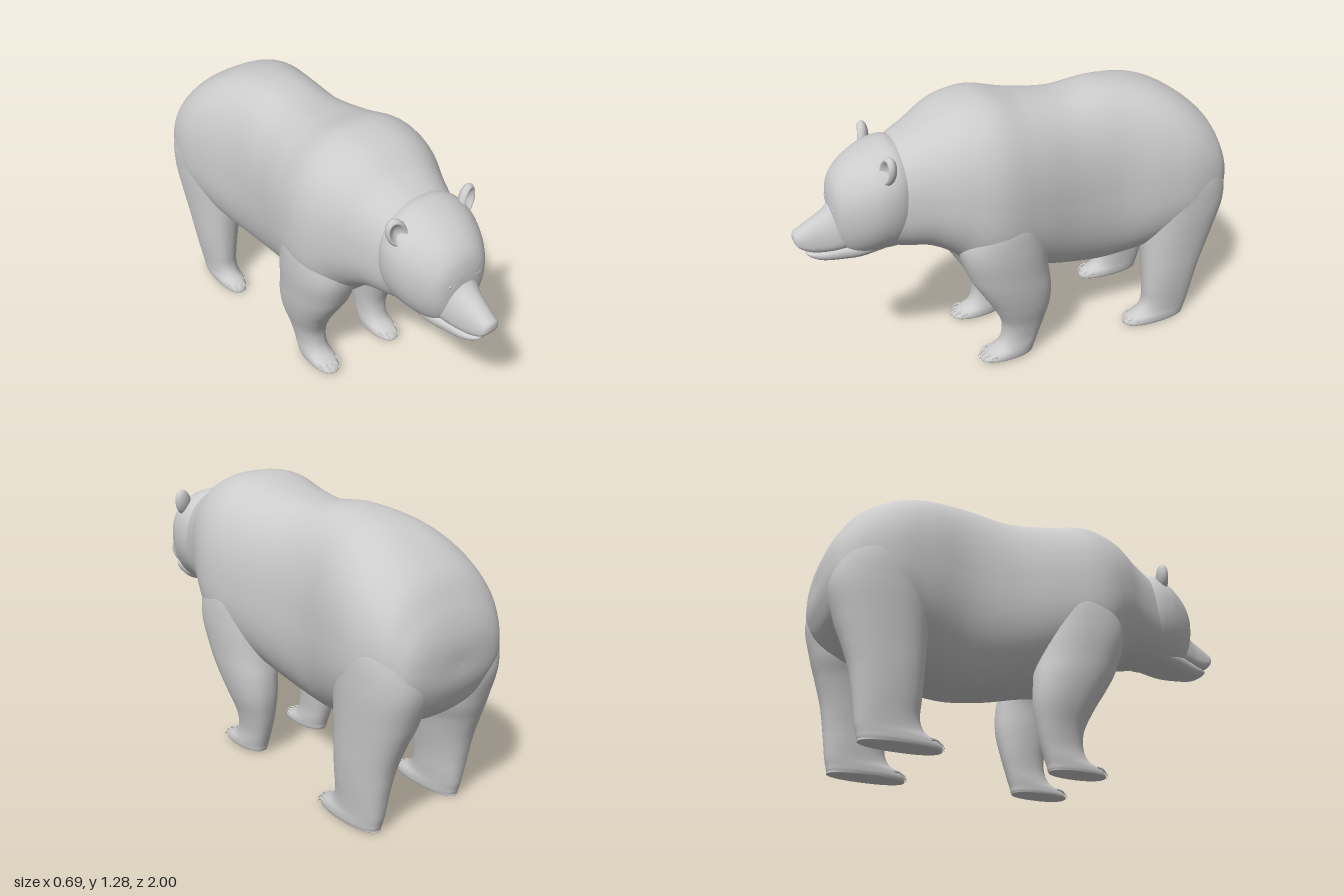
import * as THREE from 'three';

const material = new THREE.MeshStandardMaterial({ color: 0xcccccc, side: THREE.DoubleSide });
const STEPS = 7, SIDES = 64;

// Signed power for superellipse cross-sections
const spow = (v, n) => Math.sign(v) * Math.pow(Math.abs(v), 2 / n);

// Smooth interpolation between the rows of a section table
function sample(rows, t) {
  const i = Math.min(Math.floor(t), rows.length - 2), f = t - i;
  const at = k => rows[Math.max(0, Math.min(rows.length - 1, k))];
  const [a, b, c, d] = [at(i - 1), at(i), at(i + 1), at(i + 2)];
  return b.map((_, k) => 0.5 * (2 * b[k] + (c[k] - a[k]) * f
    + (2 * a[k] - 5 * b[k] + 4 * c[k] - d[k]) * f * f
    + (3 * b[k] - a[k] - 3 * c[k] + d[k]) * f * f * f));
}

// Skin closed rings through the section rows
function loft(rows, point) {
  const pos = [], index = [], rings = (rows.length - 1) * STEPS;
  for (let i = 0; i <= rings; i++) {
    const row = sample(rows, i / STEPS);
    for (let j = 0; j < SIDES; j++) {
      const a = j / SIDES * Math.PI * 2;
      pos.push(...point(row, Math.cos(a), Math.sin(a)));
      if (i === rings) continue;
      const k = (j + 1) % SIDES, p = i * SIDES, q = p + SIDES;
      index.push(p + j, p + k, q + k, p + j, q + k, q + j);
    }
  }
  const g = new THREE.BufferGeometry();
  g.setAttribute('position', new THREE.Float32BufferAttribute(pos, 3));
  g.setIndex(index);
  g.computeVertexNormals();
  return g;
}

// Rows along z: [z, bottom, top, half width]; mid sets the height of the widest point
const along = (rows, nTop, nBottom, mid = 0.5) => loft(rows, ([z, bot, top, w], c, s) => {
  const n = s > 0 ? nTop : nBottom, m = bot + (top - bot) * mid;
  return [w * spow(c, n), m + (s > 0 ? top - m : m - bot) * spow(s, n), z];
});

// Rows down y: [y, back z, front z, inner x, outer x]
const limb = (rows, side) => loft(rows, ([y, back, front, inner, outer], c, s) => [
  side * (inner + outer) / 2 + (outer - inner) / 2 * spow(c, 2.3), y,
  (back + front) / 2 + (front - back) / 2 * spow(s, 2.2)]);

const bodyRows = [
  [-1, 0.73, 0.73, 0], [-1, 0.66, 0.8, 0.12], [-0.985, 0.6, 0.87, 0.22],
  [-0.95, 0.53, 0.95, 0.277], [-0.88, 0.47, 1.055, 0.32], [-0.75, 0.41, 1.15, 0.343],
  [-0.6, 0.365, 1.21, 0.325], [-0.4, 0.335, 1.235, 0.283], [-0.2, 0.365, 1.217, 0.287],
  [0, 0.42, 1.24, 0.322], [0.15, 0.435, 1.277, 0.345], [0.25, 0.475, 1.275, 0.337],
  [0.35, 0.58, 1.247, 0.3], [0.45, 0.64, 1.19, 0.25], [0.55, 0.66, 1.14, 0.212],
  [0.62, 0.68, 1.1, 0.19]];

const skullRows = [
  [0.48, 0.69, 1.1, 0.16], [0.57, 0.66, 1.143, 0.208], [0.65, 0.66, 1.13, 0.211],
  [0.72, 0.655, 1.1, 0.188], [0.78, 0.67, 1.06, 0.153], [0.82, 0.72, 1.01, 0.114],
  [0.838, 0.8, 0.95, 0.06], [0.842, 0.89, 0.89, 0]];

const muzzleRows = [
  [0.72, 0.7, 0.99, 0.11], [0.82, 0.695, 0.915, 0.088], [0.87, 0.695, 0.872, 0.073],
  [0.93, 0.705, 0.84, 0.058], [0.97, 0.725, 0.817, 0.047], [0.99, 0.745, 0.807, 0.038],
  [0.999, 0.765, 0.795, 0.02], [1, 0.78, 0.78, 0]];

const jawRows = [
  [0.64, 0.67, 0.76, 0.12], [0.74, 0.65, 0.745, 0.108], [0.82, 0.649, 0.73, 0.084],
  [0.89, 0.656, 0.715, 0.062], [0.93, 0.672, 0.71, 0.045], [0.953, 0.69, 0.705, 0.025],
  [0.956, 0.698, 0.698, 0]];

const frontLegRows = [
  [0.95, 0.06, 0.24, 0.14, 0.27], [0.8, 0, 0.3, 0.1, 0.333], [0.65, -0.04, 0.345, 0.06, 0.342],
  [0.5, -0.063, 0.308, 0.055, 0.328], [0.4, -0.077, 0.255, 0.085, 0.315],
  [0.3, -0.078, 0.195, 0.1, 0.293], [0.2, -0.06, 0.15, 0.112, 0.262],
  [0.12, -0.038, 0.148, 0.12, 0.246], [0.07, -0.022, 0.175, 0.119, 0.245],
  [0.04, -0.012, 0.235, 0.117, 0.247], [0.018, -0.006, 0.256, 0.119, 0.245],
  [0.01, 0.01, 0.235, 0.13, 0.235], [0.01, 0.12, 0.12, 0.18, 0.18]];

const hindLegRows = [
  [0.95, -0.88, -0.62, 0.14, 0.28], [0.8, -0.95, -0.575, 0.1, 0.335], [0.65, -0.985, -0.57, 0.05, 0.34],
  [0.5, -0.95, -0.572, 0.065, 0.33], [0.4, -0.915, -0.578, 0.1, 0.322],
  [0.3, -0.882, -0.583, 0.125, 0.315], [0.2, -0.861, -0.588, 0.145, 0.305],
  [0.12, -0.848, -0.59, 0.155, 0.295], [0.07, -0.84, -0.565, 0.16, 0.29],
  [0.04, -0.832, -0.51, 0.16, 0.291], [0.015, -0.825, -0.492, 0.163, 0.289],
  [0.002, -0.81, -0.515, 0.175, 0.277], [0, -0.66, -0.66, 0.225, 0.225]];

// Rounded ear with a dished front
function earGeometry() {
  const g = new THREE.SphereGeometry(1, 40, 28), p = g.attributes.position;
  for (let i = 0; i < p.count; i++) {
    const x = p.getX(i), y = p.getY(i), z = p.getZ(i);
    const dish = z > 0 ? 1.25 * Math.max(0, 1 - (x * x + y * y) / 0.6) : 0;
    p.setXYZ(i, x * 0.043, y * 0.066, (z - dish) * 0.03);
  }
  g.computeVertexNormals();
  return g;
}

export function createModel() {
  const model = new THREE.Group();
  model.name = 'bear';
  const head = new THREE.Group();
  head.name = 'head';
  model.add(head);

  const add = (parent, name, geometry, position = [0, 0, 0], scale = [1, 1, 1]) => {
    const m = new THREE.Mesh(geometry, material);
    m.name = name;
    m.position.set(...position);
    m.scale.set(...scale);
    parent.add(m);
    return m;
  };

  add(model, 'body', along(bodyRows, 2.45, 2.25, 0.47));
  add(head, 'skull', along(skullRows, 2.25, 2, 0.57));
  add(head, 'muzzle', along(muzzleRows, 2.2, 2.6, 0.35));
  add(head, 'lowerJaw', along(jawRows, 2.5, 2.2, 0.6));

  // Nose pad and nostrils
  const ball = new THREE.SphereGeometry(1, 24, 16);
  add(head, 'nose', ball, [0, 0.782, 0.966], [0.043, 0.029, 0.034]);

  for (const side of [1, -1]) {
    const label = side > 0 ? 'left' : 'right';
    const nostril = add(head, label + 'Nostril', new THREE.TorusGeometry(0.009, 0.004, 8, 20), [side * 0.02, 0.779, 0.993]);
    nostril.rotation.y = side * 0.45;

    // Eye with a lid ring
    add(head, label + 'Eye', ball, [side * 0.073, 0.905, 0.823], [0.014, 0.012, 0.014]);
    const lid = add(head, label + 'Eyelid', new THREE.TorusGeometry(0.016, 0.005, 10, 28), [side * 0.073, 0.905, 0.827], [1.2, 0.85, 1]);
    lid.rotation.set(-0.15, side * 0.45, side * -0.15);

    const ear = add(head, label + 'Ear', earGeometry(), [side * 0.178, 1.085, 0.628]);
    ear.rotation.set(-0.08, side * 0.25, side * -0.3);

    // Legs with five claws on each paw
    for (const [name, rows, x, z, y] of [['Front', frontLegRows, 0.182, 0.238, 0.03], ['Hind', hindLegRows, 0.226, -0.51, 0.027]]) {
      const leg = new THREE.Group();
      leg.name = label + name + 'Leg';
      model.add(leg);
      add(leg, 'leg', limb(rows, side));
      for (let i = -2; i <= 2; i++) {
        const cz = z - 0.007 * i * i;
        const curve = new THREE.QuadraticBezierCurve3(
          new THREE.Vector3(0, 0.012, -0.015), new THREE.Vector3(0, 0.016, 0.018), new THREE.Vector3(0, -0.014, 0.028));
        const claw = new THREE.TubeGeometry(curve, 8, 0.006, 8), p = claw.attributes.position;
        // Taper the claw to its tip
        for (let k = 0; k < p.count; k++) {
          const ring = Math.floor(k / 9) / 8, c = curve.getPointAt(ring);
          const v = new THREE.Vector3().fromBufferAttribute(p, k).sub(c).multiplyScalar(1 - 0.85 * ring).add(c);
          p.setXYZ(k, v.x, v.y, v.z);
        }
        claw.computeVertexNormals();
        add(leg, 'claw', claw, [side * x + i * 0.025, y, cz]);
      }
    }
  }
  return model;
}
